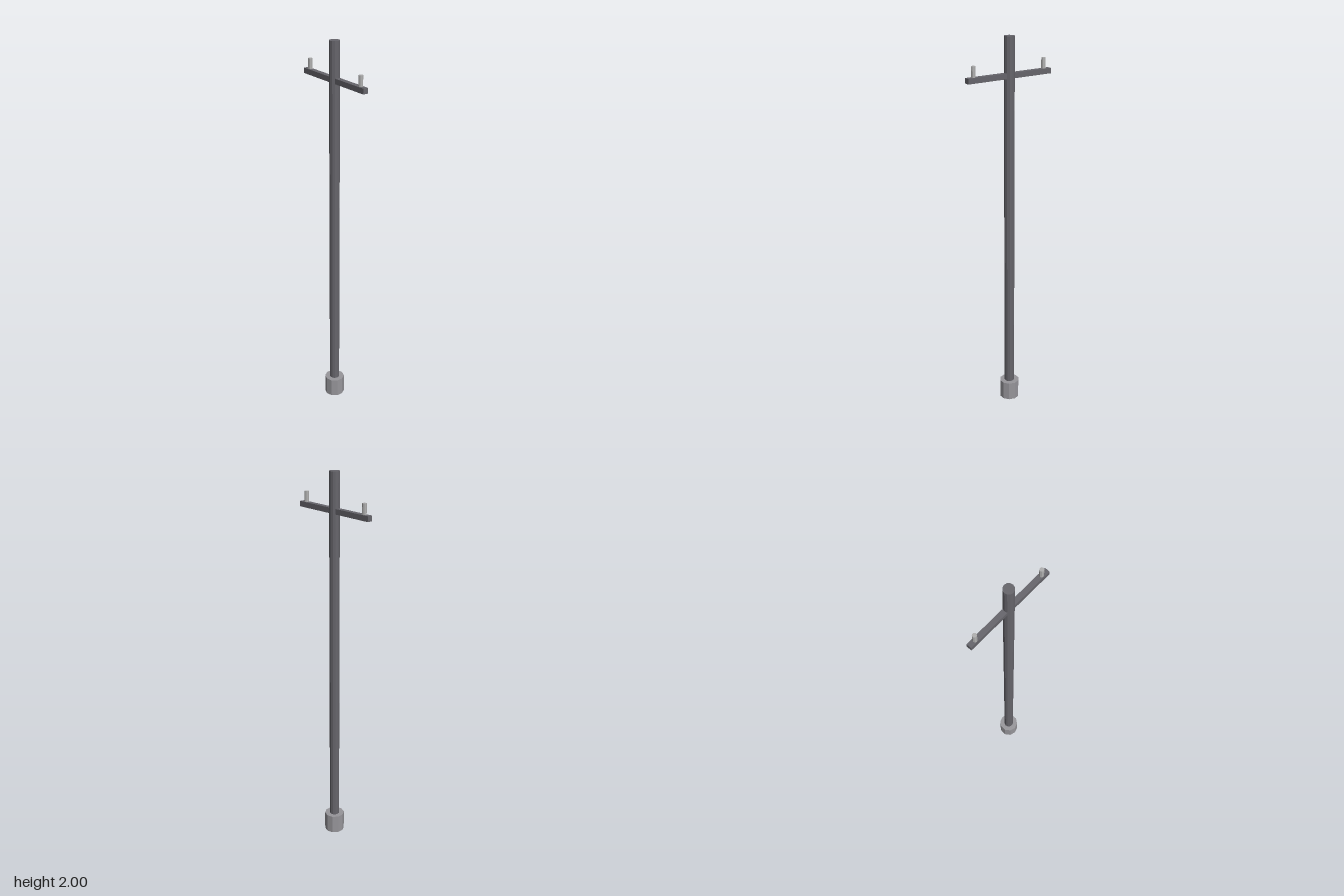
import * as THREE from 'three';

export function createModel() {
  const model = new THREE.Group();
  model.name = 'utilityPole';

  const material = (color) => new THREE.MeshStandardMaterial({ color, flatShading: true });
  const darkMetal = material(0x66656b);
  const concrete = material(0x96959a);
  const ceramic = material(0xb0b0b0);

  const add = (name, geometry, mat, x, y) => {
    const mesh = new THREE.Mesh(geometry, mat);
    mesh.name = name;
    mesh.position.set(x, y, 0);
    model.add(mesh);
  };

  // Ten-sided footing
  add('base', new THREE.CylinderGeometry(0.053, 0.053, 0.102, 10), concrete, 0, 0.051);

  // Upright, set slightly into the footing
  add('pole', new THREE.CylinderGeometry(0.0265, 0.0265, 1.92, 12), darkMetal, 0, 1.04);

  // Horizontal arm through the pole
  add('crossarm', new THREE.BoxGeometry(0.488, 0.027, 0.027), darkMetal, 0, 1.81);

  // Pegs standing near the ends of the arm
  for (const [name, side] of [['leftInsulator', 1], ['rightInsulator', -1]]) {
    add(name, new THREE.CylinderGeometry(0.011, 0.011, 0.056, 8), ceramic, side * 0.207, 1.849);
  }

  return model;
}
